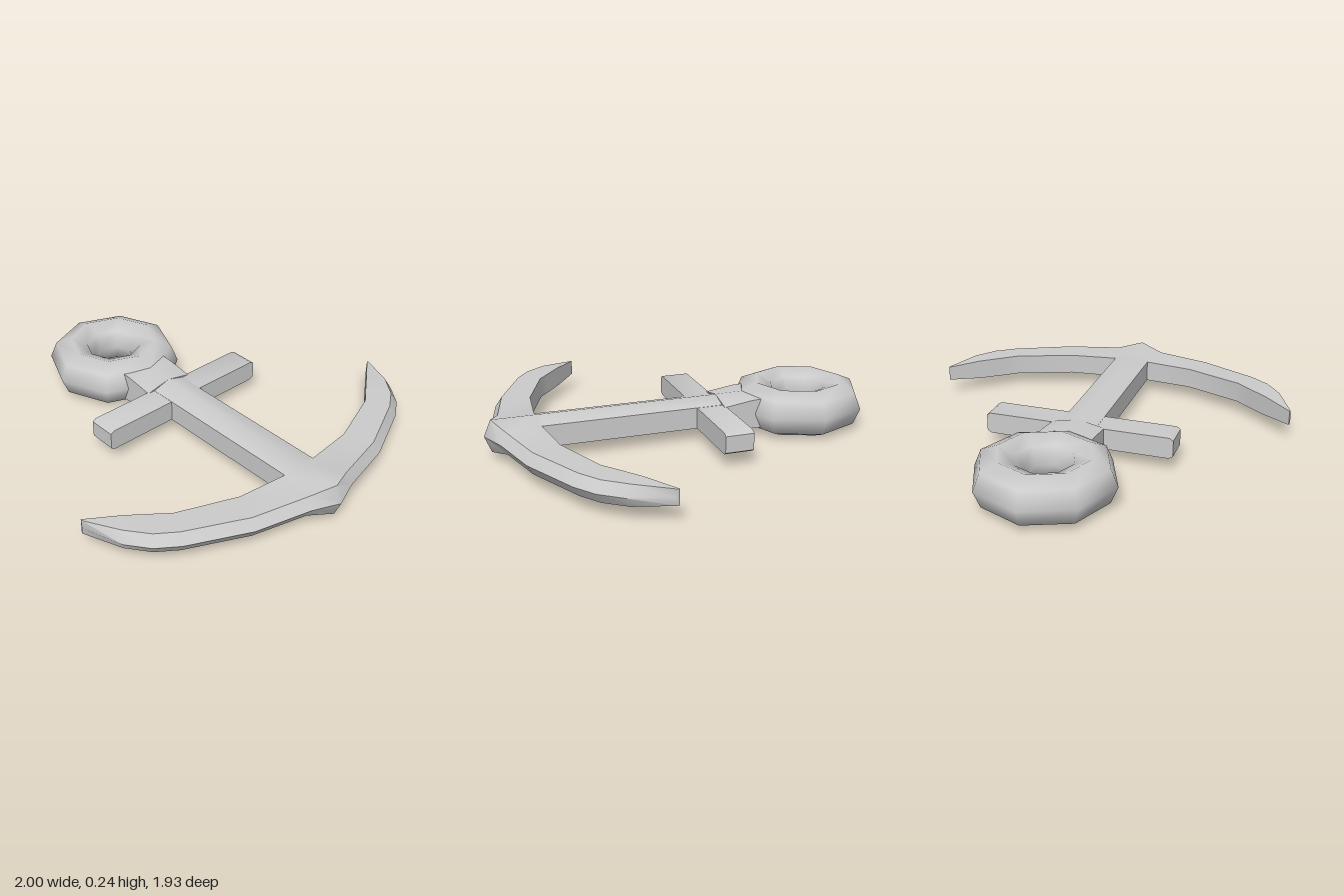
import * as THREE from 'three';
import { toCreasedNormals } from 'three/addons/utils/BufferGeometryUtils.js';

const MID = 0.12; // height of the anchor's middle plane

// Skin a list of equal-length point loops ([x, y, z], y from the middle plane) and cap both ends
function loft(loops) {
  const pos = [], index = [];
  const n = loops[0].length, last = loops.length - 1;
  loops.forEach(loop => loop.forEach(([x, y, z]) => pos.push(x, y + MID, z)));
  for (let i = 0; i < last; i++) {
    for (let j = 0; j < n; j++) {
      const k = (j + 1) % n;
      const a = i * n + j, b = i * n + k, c = b + n, d = a + n;
      index.push(a, b, c, a, c, d);
    }
  }
  for (let j = 1; j < n - 1; j++) {
    index.push(0, j + 1, j);
    index.push(last * n, last * n + j, last * n + j + 1);
  }
  const geometry = new THREE.BufferGeometry();
  geometry.setAttribute('position', new THREE.Float32BufferAttribute(pos, 3));
  geometry.setIndex(index);
  return toCreasedNormals(geometry, 0.9);
}

// Six-sided section across x, with a ridge along the top and bottom
const hexagon = (x, halfZ, ridge, side) => [
  [x, ridge, 0], [x, side, halfZ], [x, -side, halfZ],
  [x, -ridge, 0], [x, -side, -halfZ], [x, side, -halfZ],
];

// Section of the curved arms: flat inner edge, bevelled outer edge
function armSection([ix, iz, ox, oz, h], s) {
  const t = Math.min(0.035 / Math.hypot(ox - ix, oz - iz), 0.5);
  const bx = ox + (ix - ox) * t, bz = (oz + (iz - oz) * t) * s;
  return [
    [bx, h, bz], [ix, h, iz * s], [ix, -h, iz * s], [bx, -h, bz], [ox, 0, oz * s],
  ];
}

export function createModel() {
  const anchor = new THREE.Group();
  anchor.name = 'anchor';
  const material = new THREE.MeshStandardMaterial({ color: 0xcccccc });
  const add = (name, geometry) => {
    const mesh = new THREE.Mesh(geometry, material);
    mesh.name = name;
    anchor.add(mesh);
    return mesh;
  };

  // Chunky eight-sided ring
  const ring = add('ring', new THREE.TorusGeometry(0.23, 0.12, 8, 8));
  ring.rotation.x = Math.PI / 2;
  ring.position.set(-0.65, MID, 0);

  // Neck between ring and crossbar, then the long shank
  add('neck', loft([
    hexagon(-0.45, 0.135, 0.085, 0.08),
    hexagon(-0.34, 0.135, 0.085, 0.075),
    hexagon(-0.19, 0.135, 0.083, 0.054),
  ]));
  add('shank', loft([
    hexagon(-0.22, 0.095, 0.083, 0.055),
    hexagon(0.75, 0.095, 0.083, 0.055),
  ]));

  // Crossbar with slightly bevelled ends
  add('crossbar', loft([[-0.485, 0.042], [-0.465, 0.054], [0.465, 0.054], [0.485, 0.042]]
    .map(([z, h]) => [[-0.055, h, z], [-0.2, h, z], [-0.2, -h, z], [-0.055, -h, z]])));

  // Arms: inner x, inner z, outer x, outer z, half height, from the crown to the tip
  const half = [
    [0.735, 0, 1, 0, 0.083],
    [0.735, 0.095, 0.945, 0.135, 0.055],
    [0.705, 0.35, 0.875, 0.42, 0.053],
    [0.59, 0.645, 0.735, 0.715, 0.053],
    [0.535, 0.714, 0.66, 0.82, 0.053],
    [0.453, 0.818, 0.555, 0.9, 0.052],
    [0.34, 0.96, 0.355, 0.966, 0.038],
  ];
  add('arms', loft([
    ...half.slice(1).reverse().map(p => armSection(p, -1)),
    ...half.map(p => armSection(p, 1)),
  ]));

  return anchor;
}
